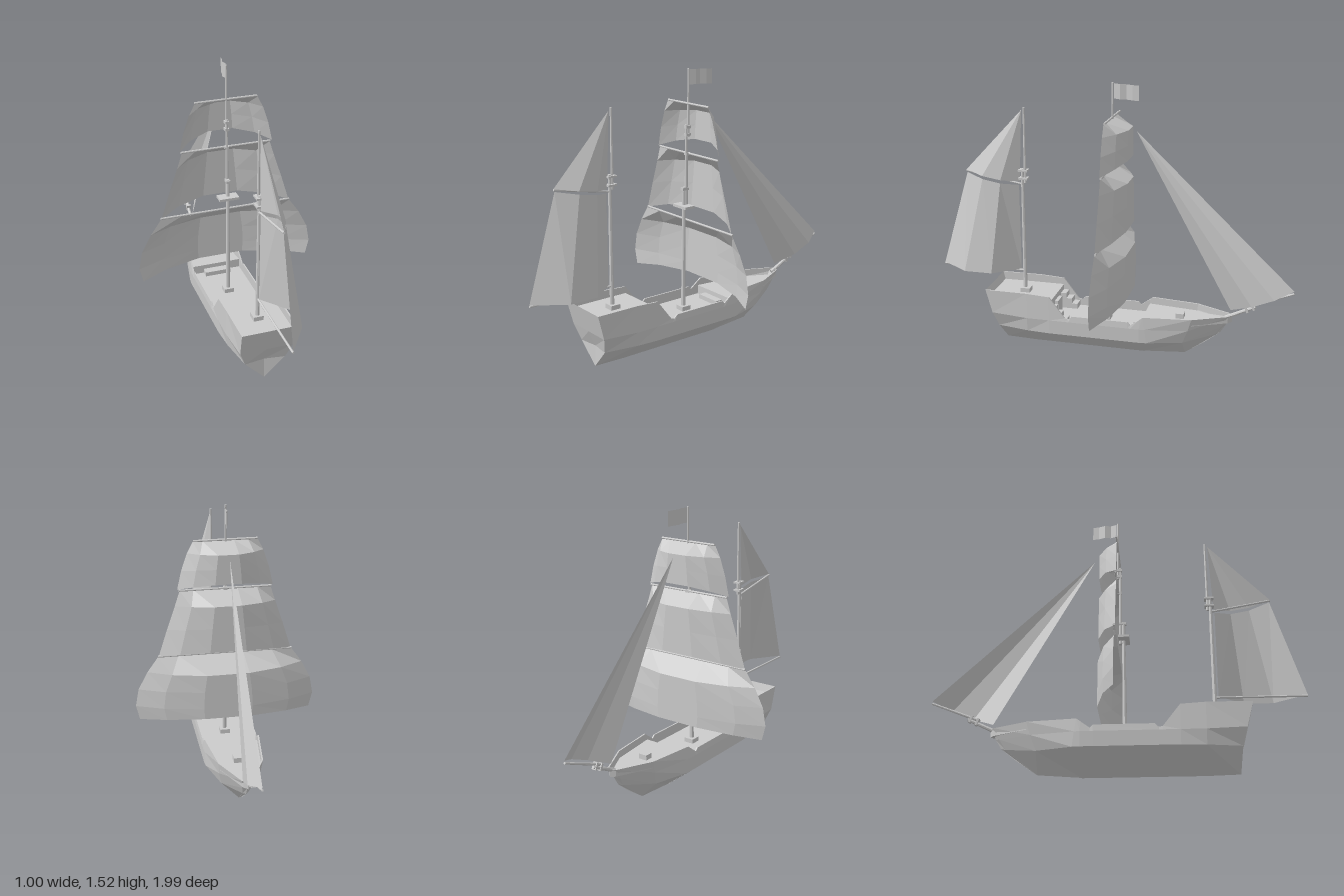
import * as THREE from 'three';

const mat = new THREE.MeshStandardMaterial({ color: 0xcccccc, flatShading: true, side: THREE.DoubleSide });
const V = (p) => new THREE.Vector3(...p);

// Surface through rows of points, every row the same length
function grid(name, rows) {
  const pos = [], idx = [], n = rows[0].length;
  rows.forEach((r) => r.forEach((p) => pos.push(...p)));
  for (let i = 0; i < rows.length - 1; i++) {
    for (let j = 0; j < n - 1; j++) {
      const a = i * n + j, b = a + n;
      idx.push(a, b, a + 1, a + 1, b, b + 1);
    }
  }
  const g = new THREE.BufferGeometry();
  g.setAttribute('position', new THREE.Float32BufferAttribute(pos, 3));
  g.setIndex(idx);
  const flat = g.toNonIndexed();
  flat.computeVertexNormals();
  const m = new THREE.Mesh(flat, mat);
  m.name = name;
  return m;
}

// Round spar between two points
function rod(name, a, b, r0, r1 = r0) {
  const A = V(a), B = V(b), d = B.clone().sub(A);
  const m = new THREE.Mesh(new THREE.CylinderGeometry(r1, r0, d.length(), 8), mat);
  m.position.copy(A).add(B).multiplyScalar(0.5);
  m.quaternion.setFromUnitVectors(new THREE.Vector3(0, 1, 0), d.normalize());
  m.name = name;
  return m;
}

function box(name, size, at) {
  const m = new THREE.Mesh(new THREE.BoxGeometry(...size), mat);
  m.position.set(...at);
  m.name = name;
  return m;
}

// Square sail: rows are [y, half width, belly, lift of the middle]
function squareSail(name, rows) {
  const cols = [[-1, 0], [-0.7, 0.58], [-0.27, 1], [0.27, 1], [0.7, 0.58], [1, 0]];
  return grid(name, rows.map(([y, w, belly, lift]) =>
    cols.map(([f, b]) => [f * w, y + lift * b, 0.01 - 0.105 * b * belly])));
}

// Fore-and-aft sail: edges are [start, end, sideways belly]
function staySail(name, edges, stops) {
  return grid(name, edges.map(([a, b, belly]) => stops.map((t) => {
    const p = V(a).lerp(V(b), t);
    return [p.x + (t > 0 && t < 1 ? belly : 0), p.y, p.z];
  })));
}

function hull() {
  const g = new THREE.Group();
  g.name = 'hull';
  // Stations: deck height, then rim, side, chine and keel as [x, y, z]
  const st = (z, rimY, deck, chineX = 0.152, keelY = 0) =>
    [deck, [0.152, rimY, z], [0.155, 0.2, z], [chineX, 0.12, z], [0, keelY, z]];
  const stations = [
    [0.3, [0.15, 0.345, 0.7], [0.146, 0.21, 0.665], [0.11, 0.12, 0.64], [0, 0.005, 0.63]],
    st(0.46, 0.345, 0.3, 0.142),
    st(0.33, 0.337, 0.3),
    st(0.33, 0.337, 0.18),
    st(0.24, 0.22, 0.18),
    st(0.22, 0.215, 0.18),
    st(0.2, 0.235, 0.18),
    st(-0.115, 0.235, 0.18),
    st(-0.13, 0.218, 0.18),
    st(-0.18, 0.255, 0.18),
    st(-0.18, 0.255, 0.23),
    [0.23, [0.15, 0.27, -0.2], [0.152, 0.2, -0.21], [0.148, 0.12, -0.22], [0, 0.002, -0.18]],
    [0.23, [0.118, 0.27, -0.46], [0.112, 0.2, -0.44], [0.095, 0.12, -0.41], [0, 0.02, -0.41]],
    [0.23, [0.03, 0.27, -0.645], [0.022, 0.21, -0.615], [0.014, 0.155, -0.58], [0, 0.04, -0.44]],
    [0.23, [0, 0.27, -0.665], [0, 0.215, -0.635], [0, 0.165, -0.605], [0, 0.04, -0.44]],
  ];
  for (const s of [1, -1]) {
    g.add(grid('hullSide', stations.map(([deck, rim, side, chine, keel]) => {
      const inX = Math.max(0, rim[0] - 0.008);
      const dz = rim[2] > 0.6 ? rim[2] - 0.012 : rim[2];
      return [[0, deck, dz], [inX, deck, dz], [inX, rim[1], rim[2]], rim, side, chine, keel]
        .map(([x, y, z]) => [x * s, y, z]);
    })));
  }
  // Transom, folding inward under the counter
  const [, rim, side, chine, keel] = stations[0];
  g.add(grid('transom', [rim, side, chine, keel].map((p, i) =>
    [[-p[0], p[1], p[2]], [0, p[1], i === 2 ? 0.625 : p[2]], p])));
  // Stem closing strip
  g.add(grid('stem', [[[0, 0.165, -0.605], [0, 0.04, -0.44]], [[0, 0.1, -0.525], [0, 0.02, -0.41]]]));
  return g;
}

function deckFittings() {
  const g = new THREE.Group();
  g.name = 'deckFittings';
  for (const s of [1, -1]) {
    for (let i = 0; i < 3; i++) {
      const h = 0.09 - i * 0.03;
      g.add(box('sideStair', [0.06, h, 0.033], [s * 0.112, 0.18 + h / 2, 0.315 - i * 0.033]));
    }
  }
  g.add(box('cabinDoor', [0.08, 0.09, 0.02], [0, 0.225, 0.32]));
  g.add(box('foredeckStep', [0.15, 0.025, 0.045], [0, 0.193, -0.157]));
  g.add(box('foredeckHatch', [0.05, 0.028, 0.045], [0, 0.244, -0.38]));
  g.add(box('mainMastBase', [0.055, 0.025, 0.055], [0, 0.192, 0.04]));
  g.add(box('mizzenMastBase', [0.055, 0.025, 0.055], [0, 0.312, 0.51]));
  return g;
}

function mainMast() {
  const g = new THREE.Group();
  g.name = 'mainMast';
  g.add(rod('lowerMast', [0, 0.18, 0.042], [0, 0.88, 0.035], 0.012, 0.009));
  g.add(rod('topMast', [0, 0.75, 0.02], [0, 1.22, 0.018], 0.009, 0.007));
  g.add(rod('topgallantMast', [0, 1.15, 0.006], [0, 1.515, 0.004], 0.007, 0.005));
  g.add(box('crowsNest', [0.11, 0.014, 0.06], [0, 0.775, 0.038]));
  for (const [y, z, d] of [[0.87, 0.03, 0.04], [1.06, 0.012, 0.026], [1.165, 0.012, 0.03], [1.205, 0.012, 0.03]]) {
    g.add(box('mastCap', [0.022, 0.014, d], [0, y, z]));
  }
  for (const [y, w] of [[0.69, 0.37], [1.062, 0.25], [1.33, 0.17]]) {
    g.add(rod('yard', [-w, y, 0.006], [w, y, 0.006], 0.006));
  }
  g.add(squareSail('mainSail', [
    [0.685, 0.37, 0, 0], [0.6, 0.43, 1, 0], [0.5, 0.482, 1, 0], [0.4, 0.5, 1, 0], [0.317, 0.48, 1, 0.022]]));
  g.add(squareSail('topSail', [
    [1.06, 0.245, 0, 0], [0.975, 0.272, 1, 0.02], [0.84, 0.318, 1, 0.03], [0.69, 0.365, 1, 0.045]]));
  g.add(squareSail('topgallantSail', [
    [1.325, 0.172, 0, 0], [1.265, 0.203, 1, 0.012], [1.17, 0.235, 1, 0.03], [1.067, 0.258, 1, 0.05]]));
  // Waving flag
  const wave = [0, 0.012, 0.004, 0.016, 0.02];
  g.add(grid('flag', [1.51, 1.43].map((y) => wave.map((x, i) => [x, y - i * 0.001, -0.004 - i * 0.034]))));
  return g;
}

function mizzenMast() {
  const g = new THREE.Group();
  g.name = 'mizzenMast';
  g.add(rod('lowerMast', [0, 0.3, 0.515], [0, 1.02, 0.513], 0.012, 0.009));
  g.add(rod('topMast', [0, 0.94, 0.498], [0, 1.36, 0.496], 0.008, 0.006));
  for (const y of [0.965, 1.01]) g.add(box('mastCap', [0.04, 0.01, 0.052], [0, y, 0.507]));
  g.add(rod('gaff', [0, 0.932, 0.52], [0, 0.99, 0.84], 0.006));
  g.add(rod('boom', [0, 0.425, 0.52], [0, 0.425, 1.0], 0.006));
  const stops = [0, 0.3, 0.64, 1];
  g.add(staySail('spanker', [
    [[0, 0.925, 0.535], [0, 0.98, 0.835], 0.055],
    [[0, 0.432, 0.535], [0, 0.432, 1.0], 0.115]], stops));
  g.add(staySail('gaffTopsail', [
    [[0, 1.345, 0.51], [0, 1.345, 0.51], 0],
    [[0, 0.945, 0.53], [0, 0.995, 0.84], 0.055]], stops));
  return g;
}

function bow() {
  const g = new THREE.Group();
  g.name = 'bowsprit';
  g.add(rod('bowspritSpar', [0, 0.255, -0.63], [0, 0.332, -0.79], 0.011, 0.009));
  g.add(rod('jibBoom', [0, 0.328, -0.74], [0, 0.427, -0.99], 0.008, 0.006));
  for (const [y, z] of [[0.308, -0.74], [0.325, -0.775]]) {
    const cap = box('spritCap', [0.026, 0.04, 0.012], [0, y + 0.008, z]);
    cap.rotation.x = 0.4;
    g.add(cap);
  }
  g.add(staySail('jib', [
    [[0, 1.265, -0.125], [0, 1.265, -0.125], 0],
    [[0, 0.3, -0.655], [0, 0.44, -0.99], 0.05]], [0, 0.35, 0.7, 1]));
  return g;
}

export function createModel() {
  const ship = new THREE.Group();
  ship.name = 'sailingShip';
  ship.add(hull(), deckFittings(), mainMast(), mizzenMast(), bow());
  return ship;
}
